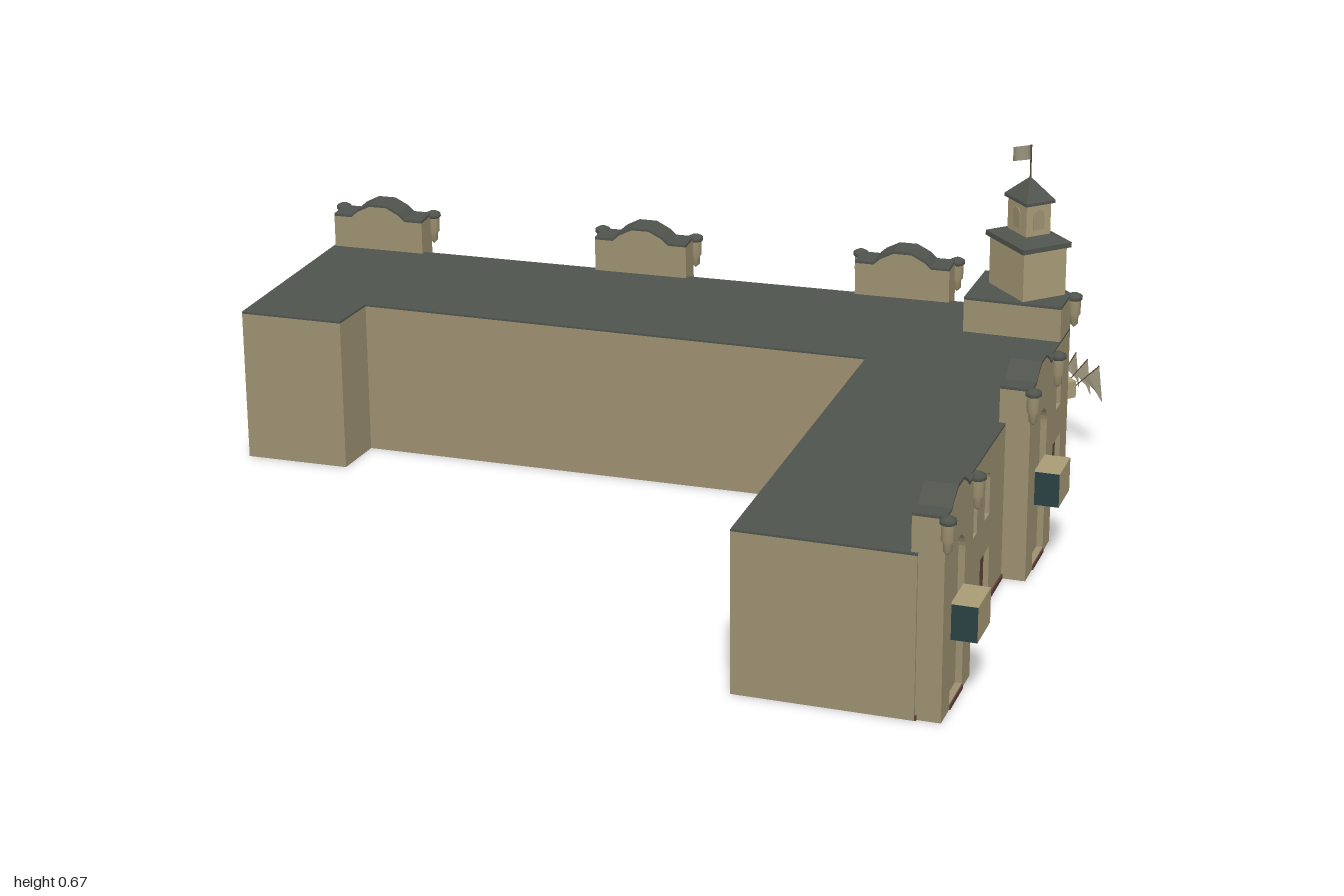
import * as THREE from 'three';

const mat = (color, side = THREE.FrontSide) => {
  const m = new THREE.MeshStandardMaterial({ side });
  m.color.set(color);
  return m;
};
const WALL = mat(0x9c9070), STONE = mat(0xa89b76), ROOF = mat(0x50544d);
const DOOR = mat(0x5c4833), GLASS = mat(0x2a4042), PLINTH = mat(0x5e3d36);
const CLOTH = mat(0xa09a82, THREE.DoubleSide), SHELL = mat(0x9c9070, THREE.DoubleSide);

const H = 0.305, SKIN = 0.012;

function add(parent, name, geometry, material, x = 0, y = 0, z = 0) {
  const mesh = new THREE.Mesh(geometry, material);
  mesh.name = name;
  mesh.position.set(x, y, z);
  parent.add(mesh);
  return mesh;
}
const box = (w, h, d) => new THREE.BoxGeometry(w, h, d);
const polygon = (pts) => new THREE.Shape(pts.map(([x, y]) => new THREE.Vector2(x, y)));
const extrude = (shape, depth) =>
  new THREE.ExtrudeGeometry(shape, { depth, bevelEnabled: false, curveSegments: 8 });

// Upright prism from a ground plan of [x, z] points
function prism(plan, y0, y1) {
  return extrude(polygon(plan.map(([x, z]) => [x, -z])), y1 - y0).rotateX(-Math.PI / 2).translate(0, y0, 0);
}

// Walls only around a ground plan, open above and below
function wallRing(plan, height) {
  const pos = [], index = [];
  plan.forEach(([ax, az], i) => {
    const [bx, bz] = plan[(i + 1) % plan.length], k = i * 4;
    pos.push(ax, 0, az, ax, height, az, bx, height, bz, bx, 0, bz);
    index.push(k, k + 1, k + 2, k, k + 2, k + 3);
  });
  const geo = new THREE.BufferGeometry();
  geo.setAttribute('position', new THREE.Float32BufferAttribute(pos, 3));
  geo.setIndex(index);
  geo.computeVertexNormals();
  return geo;
}

// Opening outline: arched or square-headed, standing on y
function opening({ x, y, w, h, arched }, Type = THREE.Path) {
  const p = new Type(), r = w / 2;
  p.moveTo(x - r, y);
  p.lineTo(x + r, y);
  if (arched) {
    p.lineTo(x + r, y + h - r);
    p.absarc(x, y + h - r, r, 0, Math.PI, false);
  } else {
    p.lineTo(x + r, y + h);
    p.lineTo(x - r, y + h);
  }
  p.lineTo(x - r, y);
  return p;
}
const win = (x, w = 0.036) => ({ x, y: 0.172, w, h: 0.085, arched: true, material: GLASS, name: 'windowPane' });
const door = (x, w = 0.068) => ({ x, y: 0.01, w, h: 0.097, material: DOOR, name: 'door' });

// Wall skin with recessed windows and doors; local x runs along it, z points out
function facade(root, name, ox, oz, nx, nz, length, openings) {
  const g = new THREE.Group();
  g.name = name;
  g.position.set(ox, 0, oz);
  g.rotation.y = Math.atan2(nx, nz);
  root.add(g);
  const top = H - 0.004;
  const shape = polygon([[0, 0], [length, 0], [length, top], [0, top]]);
  openings.forEach((o) => {
    shape.holes.push(opening(o));
    add(g, o.name, new THREE.ShapeGeometry(opening(o, THREE.Shape), 8), o.material, 0, 0, -SKIN + 0.002);
    if (o.arched) add(g, 'windowMullion', box(0.002, o.h, 0.003), DOOR, o.x, o.y + o.h / 2, -SKIN + 0.003);
  });
  add(g, 'wallSkin', extrude(shape, SKIN), WALL, 0, 0, -SKIN);
  add(g, 'plinthStep', box(length, 0.009, 0.003), PLINTH, length / 2, 0.0045, 0.0015);
  return g;
}

// Small corbelled corner turret
function turret(parent, x, z) {
  const body = [[0, 0.308], [0.008, 0.316], [0.008, 0.33], [0.012, 0.336], [0.012, 0.366]];
  const cap = [[0.012, 0.364], [0.015, 0.366], [0.015, 0.373], [0.006, 0.378], [0, 0.379]];
  const lathe = (pts) => new THREE.LatheGeometry(pts.map((p) => new THREE.Vector2(...p)), 10);
  add(parent, 'turretBody', lathe(body), WALL, x, 0, z);
  add(parent, 'turretCap', lathe(cap), ROOF, x, 0, z);
}

// Projecting bay with shaped gable, tall arched niche, turrets and balcony
function pavilion(parent, x, balconyDepth) {
  const g = new THREE.Group();
  g.name = 'pavilion';
  g.position.x = x;
  parent.add(g);
  const top = [[0.095, 0.37], [0.058, 0.37], [0.045, 0.382], [0.018, 0.396],
    [-0.018, 0.396], [-0.045, 0.382], [-0.058, 0.37], [-0.095, 0.37]];
  const outline = [[-0.095, 0], [0.095, 0], ...top];
  const front = polygon(outline);
  front.holes.push(opening({ x: 0, y: 0.01, w: 0.085, h: 0.29, arched: true }));
  add(g, 'pavilionBody', extrude(polygon(outline), 0.045), WALL, 0, 0, -SKIN);
  add(g, 'pavilionFront', extrude(front, 0.012), WALL, 0, 0, 0.033);
  const coping = [...top, ...top.map(([a, b]) => [a, b + 0.005]).reverse()];
  add(g, 'pavilionCoping', extrude(polygon(coping), 0.058), ROOF, 0, 0, -0.012);
  add(g, 'nicheStep', box(0.085, 0.008, 0.004), PLINTH, 0, 0.004, 0.045);
  add(g, 'balcony', box(0.086, 0.065, balconyDepth), [GLASS, GLASS, STONE, STONE, STONE, STONE],
    0, 0.163, 0.043 + balconyDepth / 2);
  for (const s of [-1, 1]) turret(g, s * 0.098, 0.05);
}

// Cloth from four corners, with a ripple across it
function flag(parent, name, corner, ripple) {
  const geo = new THREE.PlaneGeometry(1, 1, 6, 2), p = geo.attributes.position;
  for (let i = 0; i < p.count; i++) {
    const u = p.getX(i) + 0.5, v = p.getY(i) + 0.5;
    const a = corner[0].clone().lerp(corner[1], u), b = corner[2].clone().lerp(corner[3], u);
    a.lerp(b, v).addScaledVector(ripple, Math.sin(u * Math.PI * 2));
    p.setXYZ(i, a.x, a.y, a.z);
  }
  geo.computeVertexNormals();
  add(parent, name, geo, CLOTH);
}
const V = (x, y, z) => new THREE.Vector3(x, y, z);

function pyramidRoof(parent, name, w, d, h, x, y, z) {
  const geo = new THREE.CylinderGeometry(0, Math.SQRT1_2, 1, 4, 1).toNonIndexed().rotateY(Math.PI / 4);
  geo.computeVertexNormals();
  add(parent, name, geo.scale(w, h, d), ROOF, x, y + h / 2, z);
}

export function createModel() {
  const root = new THREE.Group();
  root.name = 'building';

  // Two wings meeting at a cut corner, hollow below the roof
  const plan = [[-0.436, -0.945], [0.65, 0.043], [0.65, 0.16], [-0.14, 0.95], [-0.368, 0.722],
    [0.22, 0.125], [-0.515, -0.575], [-0.595, -0.505], [-0.745, -0.645]];
  const core = plan.map((p) => [...p]);
  core[0] = [-0.444, -0.936];
  core[1] = [0.638, 0.048];
  core[2] = [0.638, 0.155];
  core[3] = [-0.1485, 0.9415];
  add(root, 'wingWalls', wallRing(core, H - 0.004), SHELL);
  add(root, 'flatRoof', prism(plan, H - 0.004, H), ROOF);

  // Long wing front
  const L = 1.468;
  const long = facade(root, 'longWingFront', 0.65, 0.043, 0.673, -0.74, L, [
    ...[0, 1, 2, 3, 4, 5].map((i) => win(L - 1.035 + i * 0.052)),
    ...[1.01, 0.925, 0.84].map((s) => door(L - s)),
    ...[0.486, 0.435, 0.384].map((s) => win(L - s)),
    ...[0.45, 0.358, 0.266].map((s) => door(L - s)),
  ]);
  [[0.098, 0.048], [0.659, 0.012], [1.197, 0.048]].forEach(([s, d]) => pavilion(long, L - s, d));

  // Short wing front
  const short = facade(root, 'shortWingFront', -0.14, 0.95, 1, 1, 1.117, [
    ...[0.297, 0.387, 0.477, 0.855, 0.945, 1.035].map((s) => win(s)),
    ...[0.3, 0.468, 0.855, 1.03].map((s) => door(s, 0.066)),
  ]);
  [0.1, 0.695].forEach((s) => pavilion(short, s, 0.048));

  // Cut corner: entrance, tall window, balcony
  const corner = facade(root, 'cornerFront', 0.65, 0.16, 1, 0, 0.117,
    [{ ...win(0.06, 0.06), y: 0.18, h: 0.078 }, { ...door(0.06, 0.05), h: 0.12 }]);
  for (const s of [-1, 1]) {
    add(corner, 'entrancePier', box(0.01, 0.145, 0.014), STONE, 0.06 + s * 0.033, 0.0825, 0.003);
    turret(corner, 0.06 + s * 0.068, 0.003);
  }
  add(corner, 'entranceLintel', box(0.08, 0.012, 0.016), STONE, 0.06, 0.139, 0.004);
  for (const y of [0.05, 0.075, 0.1]) add(corner, 'doorRail', box(0.05, 0.012, 0.006), STONE, 0.06, y, -0.006);
  add(corner, 'cornerBalcony', box(0.07, 0.034, 0.034), STONE, 0.06, 0.162, 0.018);

  // Raised corner block
  const block = [[0.455, 0.085], [0.571, -0.029], [0.65, 0.043], [0.65, 0.16], [0.59, 0.22]];
  add(root, 'cornerBlock', prism(block, H, 0.37), WALL);
  add(root, 'cornerBlockRoof', prism(block, 0.37, 0.375), ROOF);

  // Clock tower
  const tx = 0.588, tz = 0.098;
  add(root, 'towerShaft', box(0.095, 0.1, 0.125), STONE, tx, 0.424, tz);
  add(root, 'towerCornice', box(0.108, 0.01, 0.138), ROOF, tx, 0.477, tz);
  pyramidRoof(root, 'towerLowerRoof', 0.108, 0.138, 0.022, tx, 0.482, tz);
  add(root, 'belfry', box(0.054, 0.075, 0.068), STONE, tx, 0.522, tz);
  add(root, 'belfryCornice', box(0.064, 0.006, 0.082), ROOF, tx, 0.559, tz);
  pyramidRoof(root, 'belfryRoof', 0.064, 0.082, 0.04, tx, 0.562, tz);
  const panel = extrude(opening({ x: 0, y: 0.505, w: 0.024, h: 0.04, arched: true }, THREE.Shape), 0.002);
  for (let i = 0; i < 4; i++) {
    const a = i * Math.PI / 2, r = i % 2 ? 0.027 : 0.034;
    add(root, 'belfryPanel', panel, WALL, tx + Math.sin(a) * r, 0, tz + Math.cos(a) * r).rotation.y = a;
  }
  add(root, 'clockFace', new THREE.CylinderGeometry(0.028, 0.028, 0.005, 20).rotateZ(Math.PI / 2), STONE, 0.637, 0.42, tz);
  add(root, 'clockRim', new THREE.TorusGeometry(0.028, 0.003, 6, 20).rotateY(Math.PI / 2), STONE, 0.638, 0.42, tz);
  for (let i = 0; i < 4; i++) {
    const a = (i + 0.5) * Math.PI / 2;
    add(root, 'clockMark', box(0.003, 0.005, 0.005), DOOR, 0.64, 0.42 + Math.sin(a) * 0.02, tz + Math.cos(a) * 0.02);
  }

  // Rooftop flag
  add(root, 'flagPole', new THREE.CylinderGeometry(0.0015, 0.0015, 0.07, 6), DOOR, tx, 0.63, tz);
  flag(root, 'roofFlag', [V(tx, 0.635, tz), V(tx - 0.004, 0.617, 0.04), V(tx, 0.664, tz), V(tx - 0.004, 0.645, 0.04)],
    V(0.006, 0, 0));

  // Three fanned flags over the entrance
  for (const s of [-1, 0, 1]) {
    const a = V(0.678, 0.152, 0.096 + s * 0.022), b = V(0.735, 0.203, 0.096 + s * 0.042);
    add(root, 'entranceFlagPole', new THREE.TubeGeometry(new THREE.LineCurve3(a, b), 1, 0.0012, 5), DOOR);
    const m = a.clone().lerp(b, 0.5);
    flag(root, 'entranceFlag', [V(0.732, 0.15, m.z), V(0.745, 0.125, b.z), m, b], V(0, 0, 0.001));
  }
  return root;
}
